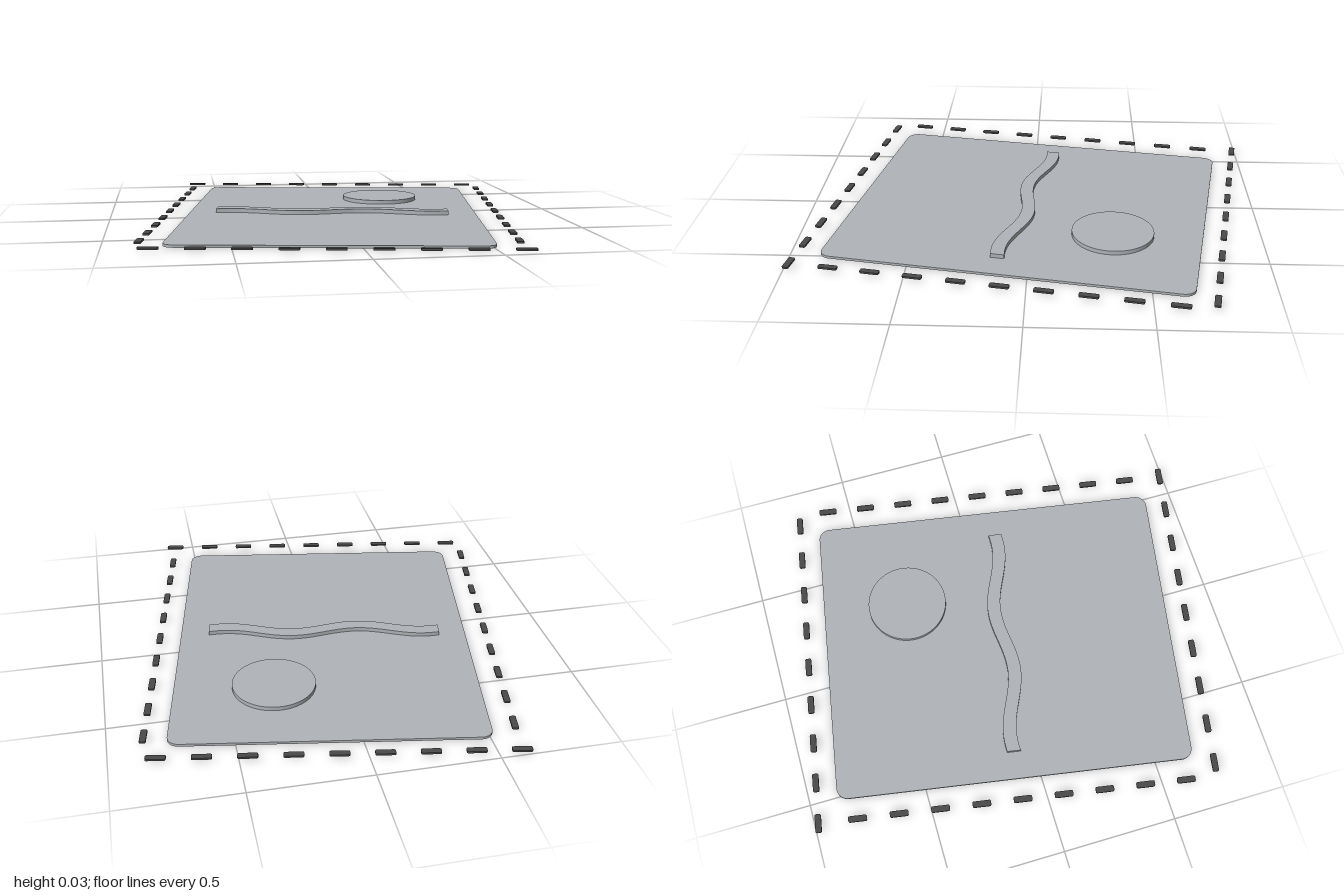
import * as THREE from 'three';

// Extrude a plan shape (x, -z) upward from y0 to y1
function slab(name, shape, y0, y1, material) {
  const geo = new THREE.ExtrudeGeometry(shape, { depth: y1 - y0, bevelEnabled: false, curveSegments: 24 });
  geo.rotateX(-Math.PI / 2);
  geo.translate(0, y0, 0);
  const mesh = new THREE.Mesh(geo, material);
  mesh.name = name;
  return mesh;
}

function roundedRect(w, h, r) {
  const s = new THREE.Shape();
  const x = w / 2, y = h / 2;
  s.absarc(x - r, y - r, r, 0, Math.PI / 2);
  s.absarc(-x + r, y - r, r, Math.PI / 2, Math.PI);
  s.absarc(-x + r, -y + r, r, Math.PI, Math.PI * 1.5);
  s.absarc(x - r, -y + r, r, Math.PI * 1.5, Math.PI * 2);
  s.closePath();
  return s;
}

export function createModel() {
  const grey = new THREE.MeshStandardMaterial({ color: 0xb0b4b8 });
  grey.name = 'light grey';
  const dark = new THREE.MeshStandardMaterial({ color: 0x4a4a4a });
  dark.name = 'dark grey';

  const model = new THREE.Group();
  model.name = 'mat';
  const plan = new THREE.Group();
  plan.name = 'turnedPlan';
  plan.rotation.y = -THREE.MathUtils.degToRad(9.5);
  model.add(plan);

  // Base plate
  plan.add(slab('basePlate', roundedRect(1.3, 1.57, 0.05), 0, 0.011, grey));

  // Raised disc
  const disc = new THREE.Mesh(new THREE.CylinderGeometry(0.178, 0.178, 0.018, 64), grey);
  disc.name = 'raisedDisc';
  disc.position.set(0.225, 0.02, -0.4);
  plan.add(disc);

  // Wavy ribbon
  const upper = [], lower = [], steps = 48;
  for (let i = 0; i <= steps; i++) {
    const u = -0.529 + (1.052 * i) / steps;
    const v = 0.024 + 0.028 * Math.cos(((u + 0.155) * Math.PI * 2) / 0.6);
    upper.unshift(new THREE.Vector2(u, -v + 0.03));
    lower.push(new THREE.Vector2(u, -v - 0.03));
  }
  plan.add(slab('wavyRibbon', new THREE.Shape([...lower, ...upper]), 0.011, 0.029, grey));

  // Dashed border: two opposite pairs of sides, each turned half round
  const border = new THREE.Group();
  border.name = 'dashedBorder';
  const dashShape = roundedRect(0.081, 0.027, 0.007);
  for (const side of [1, -1]) {
    for (let i = 0; i < 9; i++) {
      const end = slab('endDash', dashShape, 0.012, 0.02, dark);
      end.position.set(side * (-0.744 + 0.1783 * i), 0, side * -0.872);
      const long = slab('sideDash', dashShape, 0.012, 0.02, dark);
      long.rotation.y = Math.PI / 2;
      long.position.set(side * -0.743, 0, side * (-0.702 + 0.1797 * i));
      border.add(end, long);
    }
  }
  plan.add(border);
  return model;
}
